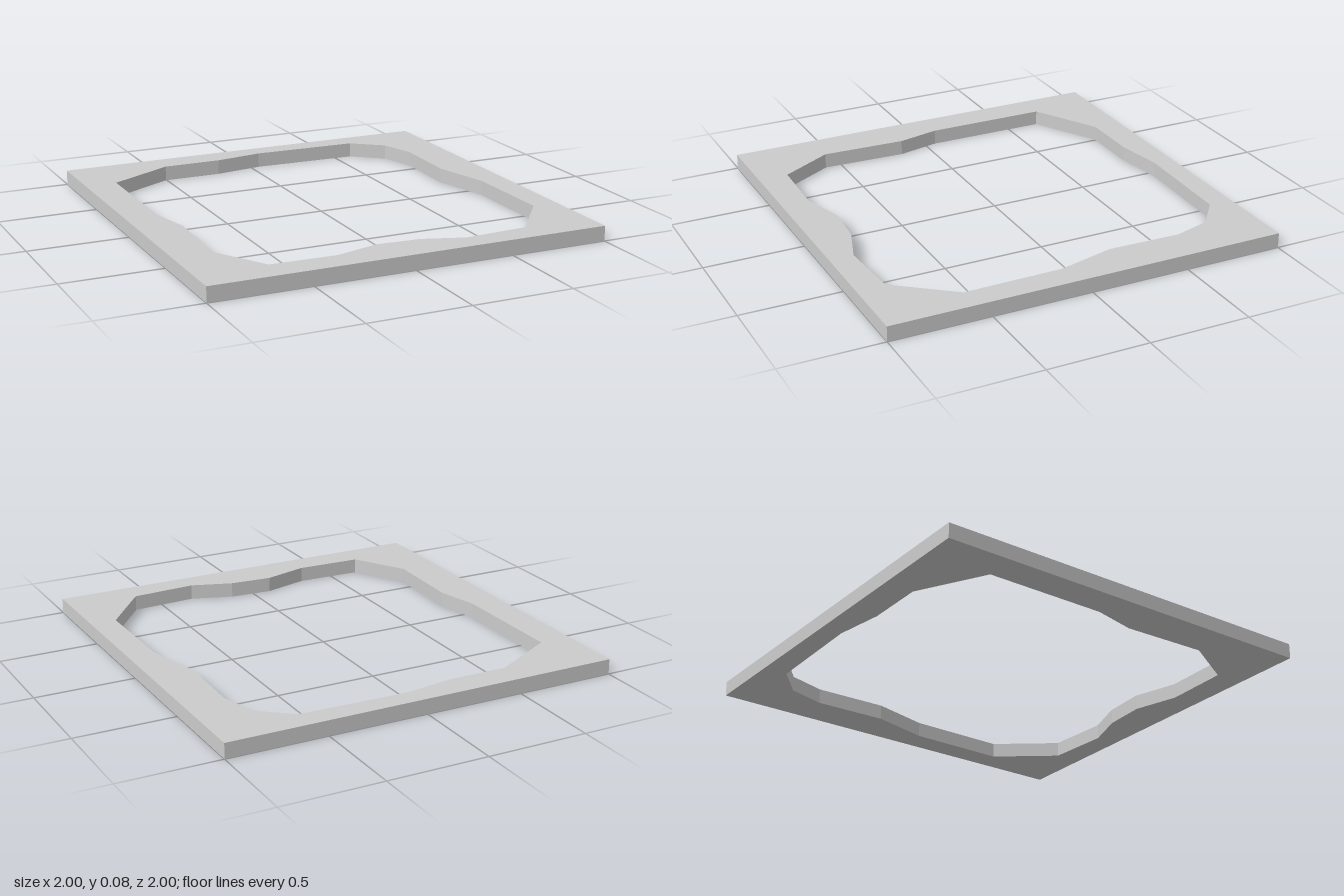
import * as THREE from 'three';

const HEIGHT = 0.075;

// Irregular opening, as [x, z] corners
const OPENING = [
  [-0.84, -0.67], [-0.505, -0.855], [-0.205, -0.855], [0.045, -0.895], [0.59, -0.88],
  [0.745, -0.755], [0.80, -0.57], [0.79, -0.205], [0.865, 0.085], [0.87, 0.58],
  [0.65, 0.86], [0.325, 0.88], [0.12, 0.81], [-0.095, 0.795], [-0.32, 0.86],
  [-0.65, 0.85], [-0.805, 0.585], [-0.79, 0.16], [-0.84, -0.055],
];

const toPoints = (list) => list.map(([x, z]) => new THREE.Vector2(x, z));

export function createModel() {
  const group = new THREE.Group();
  group.name = 'floorFrame';

  // Square slab with the opening cut through it
  const outline = new THREE.Shape(toPoints([[-1, -1], [1, -1], [1, 1], [-1, 1]]));
  outline.holes.push(new THREE.Path(toPoints(OPENING)));

  // Lay it flat: shape y becomes z, depth runs downwards from the top face
  const geometry = new THREE.ExtrudeGeometry(outline, { depth: HEIGHT, bevelEnabled: false });
  geometry.rotateX(Math.PI / 2);
  geometry.translate(0, HEIGHT, 0);

  const material = new THREE.MeshStandardMaterial({ color: 0xcccccc, flatShading: true });
  const slab = new THREE.Mesh(geometry, material);
  slab.name = 'slabWithOpening';
  group.add(slab);
  return group;
}
